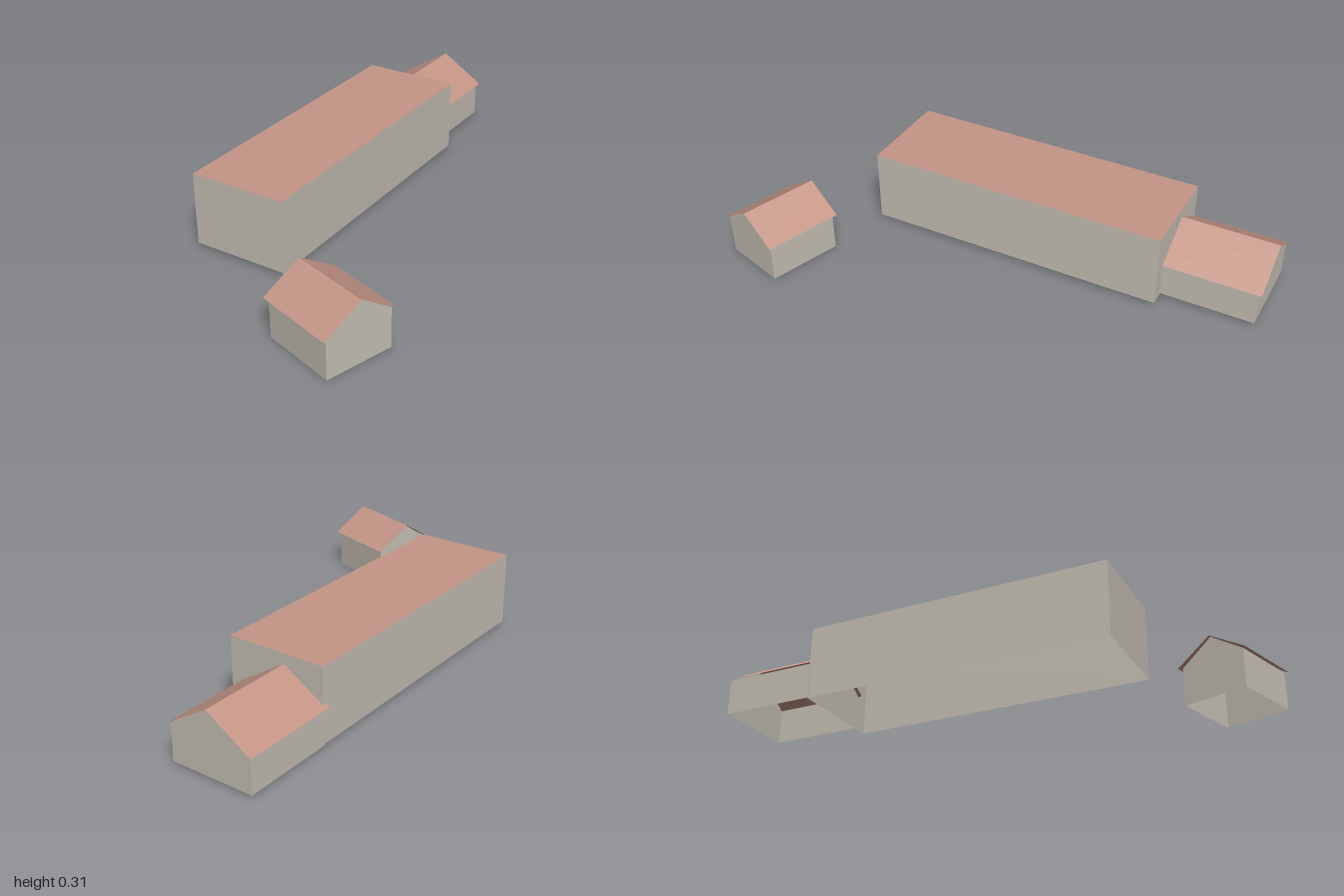
import * as THREE from 'three';

const wallMat = new THREE.MeshStandardMaterial({ color: 0xc4beb2, side: THREE.DoubleSide });
wallMat.name = 'pale plaster';
const roofMat = new THREE.MeshStandardMaterial({ color: 0xc49586, side: THREE.DoubleSide });
roofMat.name = 'terracotta roof';

// Flat convex faces, each a loop of corners counter-clockwise from outside
function panels(name, material, faces) {
  const pos = [];
  for (const f of faces) {
    for (let i = 1; i < f.length - 1; i++) pos.push(...f[0], ...f[i], ...f[i + 1]);
  }
  const geo = new THREE.BufferGeometry();
  geo.setAttribute('position', new THREE.Float32BufferAttribute(pos, 3));
  geo.computeVertexNormals();
  const mesh = new THREE.Mesh(geo, material);
  mesh.name = name;
  return mesh;
}

// Open-bottomed walls around a rectangle; a ridge height adds gables at both x ends
function walls(length, width, base, top, ridge) {
  const l = length / 2, w = width / 2;
  const side = [[-l, base, w], [l, base, w], [l, top, w], [-l, top, w]];
  const end = [[l, base, w], [l, base, -w], [l, top, -w]];
  if (ridge) end.push([l, ridge, 0]);
  end.push([l, top, w]);
  const turn = (f) => f.map(([x, y, z]) => [-x, y, -z]);
  return panels('walls', wallMat, [side, turn(side), end, turn(end)]);
}

// Two thin slopes meeting at a ridge along x
function gableRoof(length, width, eave, ridge) {
  const l = length / 2, w = width / 2;
  return panels('gableRoof', roofMat, [
    [[-l, eave, w], [l, eave, w], [l, ridge, 0], [-l, ridge, 0]],
    [[l, eave, -w], [-l, eave, -w], [-l, ridge, 0], [l, ridge, 0]],
  ]);
}

function flatRoof(length, width, y) {
  const l = length / 2, w = width / 2;
  return panels('flatRoof', roofMat, [[[-l, y, w], [l, y, w], [l, y, -w], [-l, y, -w]]]);
}

function building(name, x, z, angle, ...parts) {
  const g = new THREE.Group();
  g.name = name;
  g.position.set(x, 0, z);
  g.rotation.y = angle;
  g.add(...parts);
  return g;
}

export function createModel() {
  const model = new THREE.Group();
  model.name = 'farmBuildings';
  model.add(
    // Long flat-roofed hall
    building('mainHall', -0.125, -0.18, 0.742,
      walls(1.207, 0.393, 0.015, 0.305), flatRoof(1.207, 0.393, 0.305)),
    // Lower gabled wing against the hall's end
    building('annex', 0.43, -0.736, 0.744,
      walls(0.37, 0.333, 0.015, 0.155, 0.264), gableRoof(0.395, 0.356, 0.155, 0.266)),
    // Small detached gabled building
    building('shed', -0.366, 0.788, -1.133,
      walls(0.296, 0.266, 0, 0.155, 0.246), gableRoof(0.318, 0.295, 0.155, 0.248)),
  );
  return model;
}
